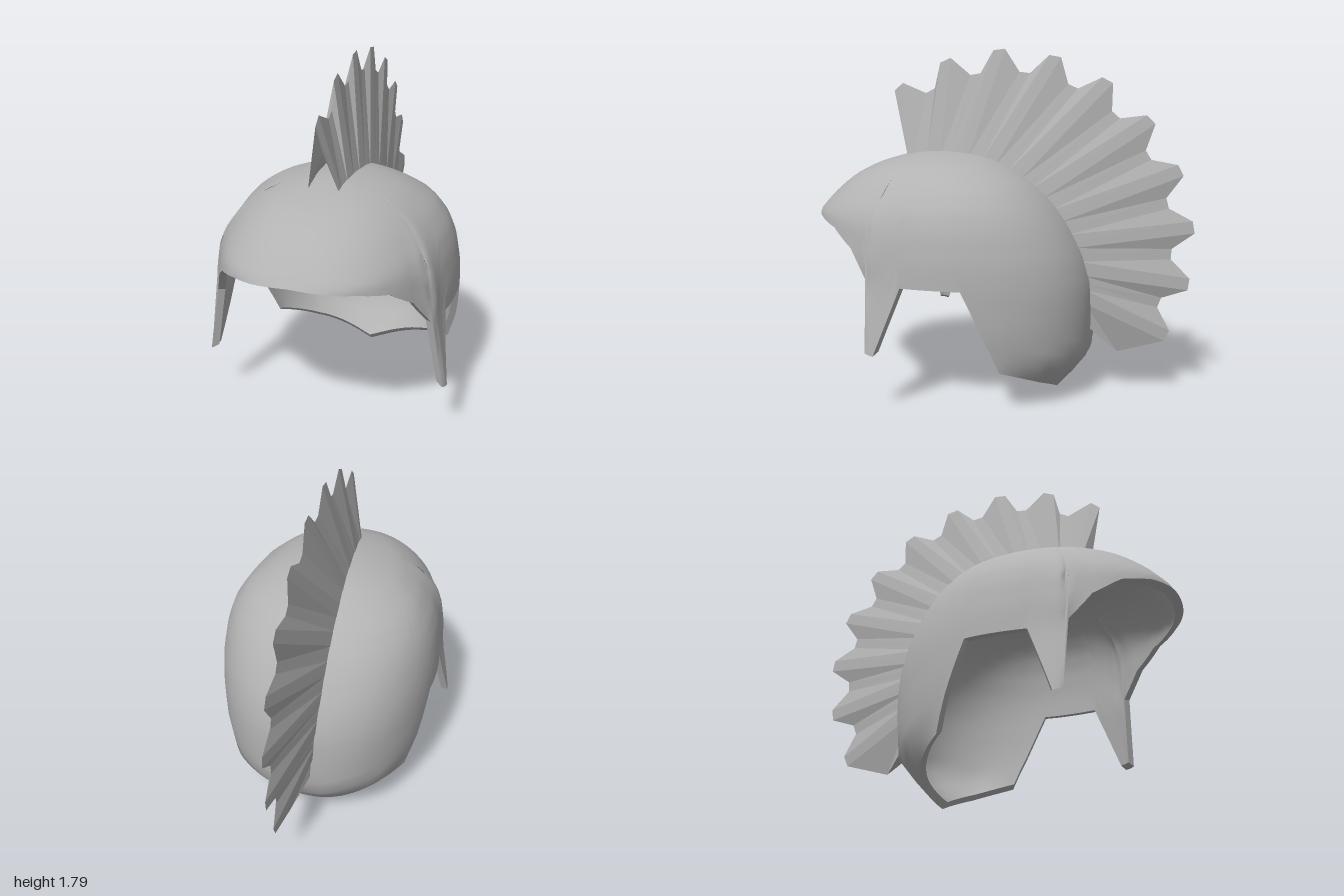
import * as THREE from 'three';

const TOP = 1.27;
const depth = y => Math.sqrt(Math.max(0, TOP - y));

// Interpolates [height, value] rows (highest first), evenly spaced for a rounded crown
function lookup(rows, y) {
  const s = depth(y);
  for (let i = 1; i < rows.length; i++) {
    const a = depth(rows[i - 1][0]), b = depth(rows[i][0]);
    if (s <= b) return THREE.MathUtils.lerp(rows[i - 1][1], rows[i][1], (s - a) / (b - a));
  }
  return rows[rows.length - 1][1];
}

// Helmet outline by height: centre, front and back reach, half widths
const CENTRE_Z = [[1.27, 0.33], [1.2, 0.28], [1.1, 0.2], [0, 0.2]];
const FRONT_Z = [[1.27, 0.33], [1.25, 0.5], [1.2, 0.68], [1.14, 0.8], [1.05, 0.91], [0.95, 1], [0, 1]];
const BACK_Z = [[1.27, 0.33], [1.25, 0.1], [1.2, -0.03], [1.1, -0.19], [1, -0.29], [0.9, -0.36],
  [0.75, -0.435], [0.6, -0.475], [0.5, -0.48], [0.4, -0.48], [0.22, -0.47], [0.11, -0.385], [0, -0.285]];
const WIDTH_TOP = [[1.27, 0], [1.25, 0.17], [1.2, 0.325], [1.1, 0.465], [1, 0.535], [0.9, 0.57], [0.75, 0.592], [0.63, 0.595]];
const WIDTH_FRONT = [...WIDTH_TOP, [0.29, 0.655]];
const WIDTH_BACK = [...WIDTH_TOP, [0.4, 0.585], [0.21, 0.55], [0.1, 0.46], [0, 0.4]];

// Lower rim: [angle from the front, height] through visor, cheek guard, ear notch and neck
const RIM = [[0, 0.95], [0.45, 0.925], [0.72, 0.89], [0.927, 0.8], [1.075, 0.66], [1.095, 0.3], [1.16, 0.29],
  [1.33, 0.63], [1.75, 0.63], [2.026, 0.21], [2.45, 0.12], [Math.PI, 0]];

function shellPoint(u, y) {
  const side = Math.abs(u), c = Math.cos(u), front = c > 0;
  const cz = lookup(CENTRE_Z, y);
  const reach = front ? lookup(FRONT_Z, y) - cz : cz - lookup(BACK_Z, y);
  // raised temple ridge running down into the cheek guard
  const ridge = 0.045 * Math.max(0, 1 - Math.abs(side - 1.12) / 0.13) * THREE.MathUtils.smoothstep(depth(y), 0.2, 0.75);
  const width = lookup(front ? WIDTH_FRONT : WIDTH_BACK, y) * (1 + ridge);
  // slightly squarer than an ellipse in plan
  const across = Math.sign(u) * Math.pow(Math.abs(Math.sin(u)), front ? 0.8 : 0.87);
  return new THREE.Vector3(width * across, y, cz + reach * c);
}

// Rim columns for one half, then mirrored to close the loop
function rimColumns() {
  const half = [];
  for (let i = 1; i < RIM.length; i++) {
    const [u0, y0] = RIM[i - 1], [u1, y1] = RIM[i];
    const n = Math.ceil((u1 - u0) / 0.06);
    for (let k = 0; k < n; k++) half.push([u0 + (u1 - u0) * k / n, y0 + (y1 - y0) * k / n]);
  }
  const mirrored = half.slice(1).reverse().map(([u, y]) => [-u, y]);
  return [...half, RIM[RIM.length - 1], ...mirrored];
}

function geometryFrom(points, index) {
  const g = new THREE.BufferGeometry().setFromPoints(points);
  if (index) g.setIndex(index);
  g.computeVertexNormals();
  return g;
}

function createShell(material) {
  const ROWS = 26, columns = rimColumns(), n = columns.length;
  const outer = [], index = [], innerIndex = [];
  columns.forEach(([u, rim], i) => {
    for (let j = 0; j <= ROWS; j++) {
      const s = depth(rim) * j / ROWS;
      outer.push(shellPoint(u, TOP - s * s));
      if (j === ROWS) continue;
      const a = i * (ROWS + 1) + j, b = ((i + 1) % n) * (ROWS + 1) + j;
      const faces = j ? [a, a + 1, b, b, a + 1, b + 1] : [a, a + 1, b + 1];
      index.push(...faces);
      innerIndex.push(...faces.slice().reverse());
    }
  });
  const centre = new THREE.Vector3(0, 0.6, 0.2);
  const inner = outer.map(p => p.clone().sub(centre).multiplyScalar(0.945).add(centre));

  // flat edge joining the outer and inner skins
  const edge = [];
  for (let i = 0; i < n; i++) {
    const a = i * (ROWS + 1) + ROWS, b = ((i + 1) % n) * (ROWS + 1) + ROWS;
    edge.push(outer[a], inner[a], outer[b], outer[b], inner[a], inner[b]);
  }

  const outerShell = geometryFrom(outer, index), innerShell = geometryFrom(inner, innerIndex);
  // one shared normal at the crown
  for (let i = 0; i < n; i++) {
    outerShell.attributes.normal.setXYZ(i * (ROWS + 1), 0, 1, 0);
    innerShell.attributes.normal.setXYZ(i * (ROWS + 1), 0, -1, 0);
  }

  const group = new THREE.Group();
  group.name = 'helmetShell';
  for (const [name, geometry] of Object.entries({ outerShell, innerShell, rimEdge: geometryFrom(edge) })) {
    const mesh = new THREE.Mesh(geometry, material);
    mesh.name = name;
    group.add(mesh);
  }
  return group;
}

// Hollow pleated fan: wide at the helmet, closing to a toothed knife edge
function createCrest(material) {
  const base = new THREE.CatmullRomCurve3([[0.515, 1.225], [0.3, 1.235], [0.1, 1.21], [-0.1, 1.125], [-0.27, 0.97],
    [-0.38, 0.8], [-0.44, 0.6], [-0.45, 0.37]].map(([z, y]) => new THREE.Vector3(0, y, z)));
  const START = 51.7, END = 224, STEP = 17.3;
  const teeth = [];
  for (let k = 0; k < 10; k++) {
    const peak = 53.5 + STEP * k, valley = peak + STEP / 2;
    teeth.push([peak - 1.8, 0.99], [peak + 1.8, 0.995]);
    if (k < 9) teeth.push([valley - 1.8, 0.88], [valley + 1.8, 0.88]);
  }
  teeth.push([END, 0.845]);

  const fan = teeth.map(([degrees, radius]) => {
    const t = (degrees - START) / (END - START), a = THREE.MathUtils.degToRad(degrees);
    const left = base.getPointAt(t);
    left.x = 0.08 + 0.035 * Math.sin(Math.PI * t);
    const right = left.clone().setX(-left.x);
    return { left, right, tip: new THREE.Vector3(0, 0.8 + radius * Math.sin(a), radius * Math.cos(a)) };
  });

  const points = [];
  for (let i = 0; i + 1 < fan.length; i++) {
    const p = fan[i], q = fan[i + 1];
    points.push(p.left, q.left, q.tip, p.left, q.tip, p.tip);
    points.push(q.right, p.right, q.tip, q.tip, p.right, p.tip);
  }
  // notched front end, closed back end
  const first = fan[0], last = fan[fan.length - 1], notch = new THREE.Vector3(0, 1.42, 0.52);
  points.push(first.right, notch, first.tip, notch, first.left, first.tip, last.left, last.right, last.tip);

  const mesh = new THREE.Mesh(geometryFrom(points), material);
  mesh.name = 'crest';
  return mesh;
}

export function createModel() {
  const metal = new THREE.MeshStandardMaterial({ color: 0xb2b2b2, side: THREE.DoubleSide });
  metal.name = 'grey metal';
  const model = new THREE.Group();
  model.name = 'crestedHelmet';
  model.add(createShell(metal), createCrest(metal));
  return model;
}
